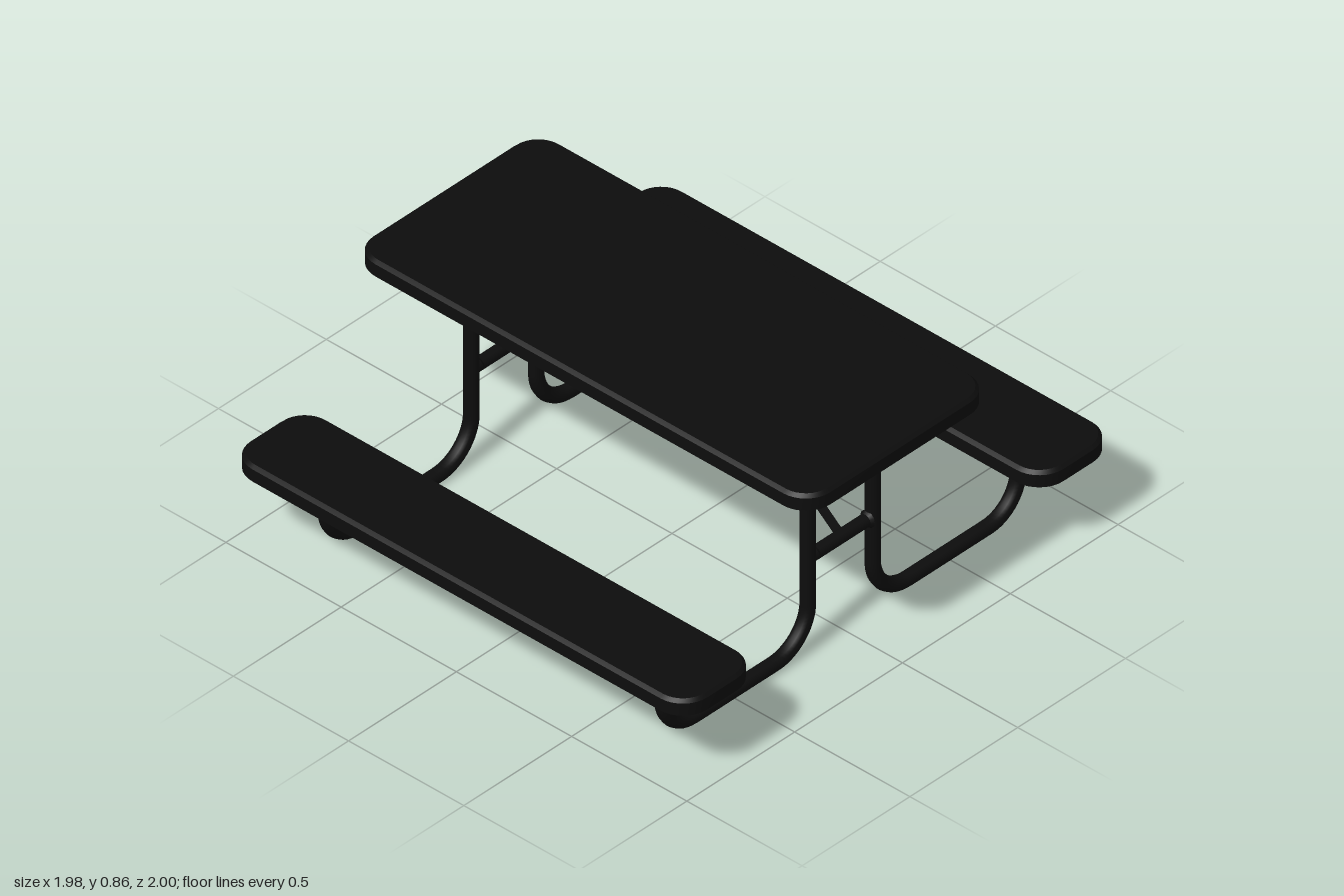
import * as THREE from 'three';
import { toCreasedNormals } from 'three/addons/utils/BufferGeometryUtils.js';

const black = new THREE.MeshStandardMaterial({ color: 0x0d0d0d });
const blackSheet = new THREE.MeshStandardMaterial({ color: 0x0d0d0d, side: THREE.DoubleSide });

function add(parent, name, geometry, material = black) {
  const mesh = new THREE.Mesh(geometry, material);
  mesh.name = name;
  parent.add(mesh);
  return mesh;
}

// Rounded rectangle as a loop of points, counter-clockwise seen from above
function outline(halfX, halfZ, r, steps = 8) {
  const points = [];
  [[1, 1], [-1, 1], [-1, -1], [1, -1]].forEach(([sx, sz], c) => {
    for (let i = 0; i <= steps; i++) {
      const a = (c + i / steps) * Math.PI / 2;
      points.push([sx * (halfX - r) + r * Math.cos(a), sz * (halfZ - r) + r * Math.sin(a)]);
    }
  });
  return points;
}

// Hollow slab: flat top, small bevel and a downturned rim, open underneath
function slabGeometry(halfX, halfZ, height) {
  const bevel = 0.012, r = 0.105;
  const inner = outline(halfX - bevel, halfZ - bevel, r - bevel);
  const outer = outline(halfX, halfZ, r);
  const rings = [[inner, height], [outer, height - bevel], [outer, 0]];
  const n = outer.length, positions = [0, height, 0], index = [];
  for (const [loop, y] of rings) for (const [x, z] of loop) positions.push(x, y, -z);
  for (let i = 0; i < n; i++) {
    const j = (i + 1) % n;
    index.push(0, 1 + i, 1 + j);
    for (let k = 0; k < 2; k++) {
      const a = 1 + k * n + i, b = 1 + k * n + j;
      index.push(a, a + n, b, b, a + n, b + n);
    }
  }
  const g = new THREE.BufferGeometry();
  g.setAttribute('position', new THREE.Float32BufferAttribute(positions, 3));
  g.setIndex(index);
  return toCreasedNormals(g, Math.PI / 6);
}

// Bent pipe from the tabletop, along the ground and up to the bench
function legGeometry() {
  const v = (z, y) => new THREE.Vector3(0, y, z);
  const path = new THREE.CurvePath();
  const bend = (cz, cy, r, from, to) => {
    const points = [];
    for (let i = 0; i <= 10; i++) {
      const a = from + (to - from) * i / 10;
      points.push(v(cz + r * Math.cos(a), cy + r * Math.sin(a)));
    }
    return new THREE.CatmullRomCurve3(points);
  };
  path.add(new THREE.LineCurve3(v(0.15, 0.855), v(0.15, 0.187)));
  path.add(bend(0.31, 0.187, 0.16, Math.PI, Math.PI * 1.5));
  path.add(new THREE.LineCurve3(v(0.31, 0.027), v(0.68, 0.027)));
  path.add(bend(0.68, 0.172, 0.145, Math.PI * 1.5, Math.PI * 2));
  path.add(new THREE.LineCurve3(v(0.825, 0.172), v(0.825, 0.355)));
  return new THREE.TubeGeometry(path, 100, 0.027, 12);
}

export function createModel() {
  const model = new THREE.Group();
  model.name = 'picnicTable';

  // Tabletop and benches
  add(model, 'tabletop', slabGeometry(0.99, 0.43, 0.06), blackSheet).position.y = 0.8;
  for (const [name, s] of [['frontBench', 1], ['backBench', -1]]) {
    add(model, name, slabGeometry(0.99, 0.174, 0.06), blackSheet).position.set(0, 0.3, s * 0.826);
  }

  // One frame at each end, the right one turned around to mirror the left
  const leg = legGeometry();
  for (const [name, s] of [['leftFrame', 1], ['rightFrame', -1]]) {
    const frame = new THREE.Group();
    frame.name = name;
    frame.rotation.y = s > 0 ? 0 : Math.PI;
    model.add(frame);

    for (const turn of [0, Math.PI]) {
      const pipe = add(frame, 'leg', leg);
      pipe.position.x = 0.73;
      pipe.rotation.y = turn;
    }

    // Crossbar between the two uprights, with small weld collars
    const bar = add(frame, 'crossbar', new THREE.CylinderGeometry(0.024, 0.024, 0.3, 12));
    bar.rotation.x = Math.PI / 2;
    bar.position.set(0.73, 0.362, 0);
    for (const e of [1, -1]) {
      const weld = add(frame, 'weld', new THREE.CylinderGeometry(0.024, 0.032, 0.012, 12, 1, true));
      weld.rotation.x = -e * Math.PI / 2;
      weld.position.set(0.73, 0.362, e * 0.121);
    }

    // Flat diagonal strap from the crossbar up to the tabletop
    const from = new THREE.Vector2(0.73, 0.37), to = new THREE.Vector2(0.145, 0.85);
    const d = to.clone().sub(from);
    const strap = add(frame, 'brace', new THREE.BoxGeometry(d.length(), 0.005, 0.034));
    strap.position.set((from.x + to.x) / 2, (from.y + to.y) / 2, 0);
    strap.rotation.z = Math.atan2(d.y, d.x);
  }
  return model;
}
